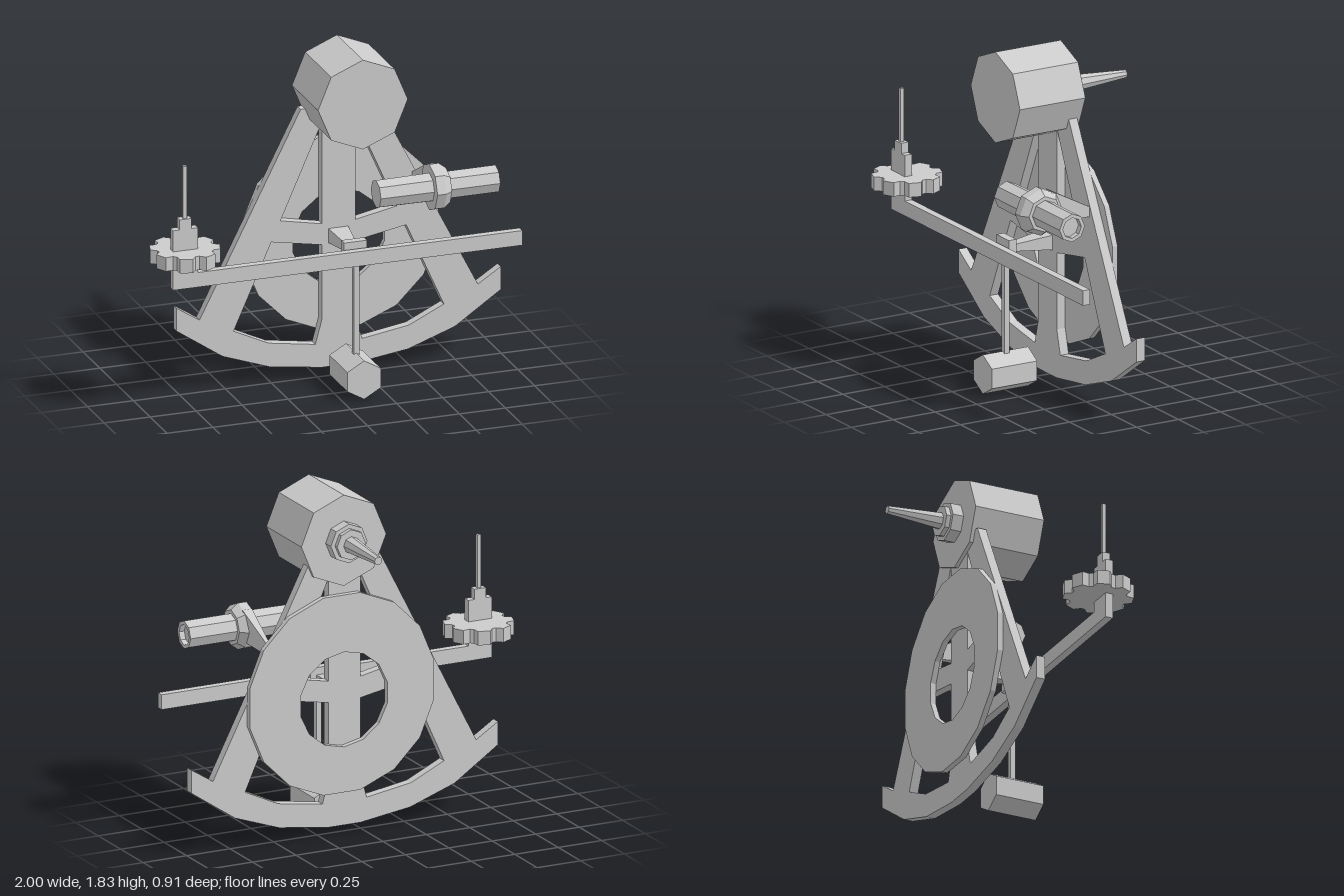
import * as THREE from 'three';

const CX = 0.117; // mirror line of the frame
const flat = () => new THREE.MeshStandardMaterial({ color: 0xcccccc, flatShading: true, side: THREE.DoubleSide });

export function createModel() {
  const model = new THREE.Group();
  const add = (name, geometry, x = 0, y = 0, z = 0) => {
    const mesh = new THREE.Mesh(geometry, flat());
    mesh.name = name;
    mesh.position.set(x, y, z);
    model.add(mesh);
    return mesh;
  };
  // box from its minimum and maximum corners
  const box = (name, [x0, y0, z0], [x1, y1, z1]) =>
    add(name, new THREE.BoxGeometry(x1 - x0, y1 - y0, z1 - z0), (x0 + x1) / 2, (y0 + y1) / 2, (z0 + z1) / 2);
  // prism or frustum along z, from z0 to z1
  const drumZ = (name, x, y, z0, z1, r0, r1, sides) =>
    add(name, new THREE.CylinderGeometry(r1, r0, z1 - z0, sides).rotateX(Math.PI / 2), x, y, (z0 + z1) / 2);
  const vectors = (points) => points.map(([x, y]) => new THREE.Vector2(x, y));
  const mirror = (points) => points.map(([x, y]) => [2 * CX - x, y]).reverse();
  const ngon = (x, y, r, n) =>
    Array.from({ length: n }, (_, i) => {
      const a = ((i + 0.5) / n) * Math.PI * 2;
      return [x + r * Math.cos(a), y + r * Math.sin(a)];
    });
  const plate = (outline, holes, depth) => {
    const shape = new THREE.Shape(vectors(outline));
    shape.holes = holes.map((h) => new THREE.Path(vectors(h)));
    return new THREE.ExtrudeGeometry(shape, { depth, bevelEnabled: false });
  };
  // four-sided bar along z, with an [x0, x1, y0, y1] section at each end
  const taper = (name, z0, a, z1, b) => {
    const g = new THREE.BoxGeometry(1, 1, 1);
    const p = g.attributes.position;
    for (let i = 0; i < p.count; i++) {
      const far = p.getZ(i) > 0;
      const s = far ? b : a;
      p.setXYZ(i, p.getX(i) < 0 ? s[0] : s[1], p.getY(i) < 0 ? s[2] : s[3], far ? z1 : z0);
    }
    g.computeVertexNormals();
    return add(name, g);
  };

  // A-shaped frame with curved lower arc
  const half = [[-0.09, 1.475], [-0.64, 0.395], [-0.765, 0.475], [-0.765, 0.35], [-0.515, 0.18], [-0.26, 0.09], [0.025, 0.05]];
  const upper = [[0.025, 0.835], [0.025, 1.39], [-0.2, 0.88]];
  const lower = [[-0.455, 0.31], [-0.265, 0.22], [-0.01, 0.18], [0.025, 0.31], [0.025, 0.72], [-0.25, 0.77]];
  add('frame', plate([...half, ...mirror(half)], [upper, lower, mirror(upper), mirror(lower)], 0.05), 0, 0, -0.05);

  // Ring plate behind the frame
  add('backRing', plate(ngon(0.148, 0.766, 0.54, 16), [ngon(0.135, 0.735, 0.255, 14)], 0.03), 0, 0, -0.08);

  // Head drum with stepped collar and rear spike
  drumZ('headDrum', 0.132, 1.585, -0.07, 0.32, 0.244, 0.244, 8);
  drumZ('collar', 0.132, 1.585, -0.13, -0.07, 0.105, 0.105, 8);
  drumZ('innerCollar', 0.132, 1.585, -0.155, -0.13, 0.082, 0.082, 8);
  drumZ('spike', 0.132, 1.585, -0.455, -0.155, 0.022, 0.045, 8);

  // Telescope with hollow eyepiece and raised band
  const tube = [[0, 0.21], [0.075, 0.21], [0.078, 0.5], [0.125, 0.5], [0.125, 0.55], [0.095, 0.59], [0.075, 0.59], [0.075, 0.86], [0.055, 0.86], [0.055, 0.83], [0, 0.83]];
  add('telescope', new THREE.LatheGeometry(vectors(tube), 8).rotateZ(-Math.PI / 2), 0, 1.08, 0.3);
  taper('telescopeBracket', -0.01, [0.515, 0.53, 1.0, 1.05], 0.24, [0.5, 0.555, 1.02, 1.185]);

  // Cross bar and the stepped post at its end
  box('crossBar', [-0.9, 0.705, 0.278], [1, 0.785, 0.32]);
  box('postBase', [-0.9, 0.78, 0.278], [-0.765, 1.03, 0.32]);
  box('postStep', [-0.865, 1.03, 0.278], [-0.8, 1.085, 0.32]);
  box('postNeedle', [-0.842, 1.085, 0.29], [-0.822, 1.37, 0.31]);

  // Toothed wheel around the post
  const teeth = [];
  for (let i = 0; i < 8; i++)
    for (const [offset, r] of [[-0.32, 0.15], [-0.18, 0.183], [0.18, 0.183], [0.32, 0.15]]) {
      const a = (i * Math.PI) / 4 + 0.48 + offset;
      teeth.push([r * Math.cos(a), r * Math.sin(a)]);
    }
  add('toothedWheel', plate(teeth, [], 0.075).rotateX(-Math.PI / 2), -0.82, 0.84, 0.275);

  // Hanging weight on its rod and arm
  taper('pendulumArm', -0.01, [0.06, 0.17, 0.725, 0.805], 0.225, [0.09, 0.14, 0.745, 0.78]);
  box('pendulumHead', [0.05, 0.71, 0.22], [0.175, 0.82, 0.265]);
  box('pendulumRod', [0.102, 0.18, 0.235], [0.132, 0.75, 0.265]);
  drumZ('pendulumWeight', 0.115, 0.106, 0.115, 0.385, 0.105, 0.105, 6);

  return model;
}
